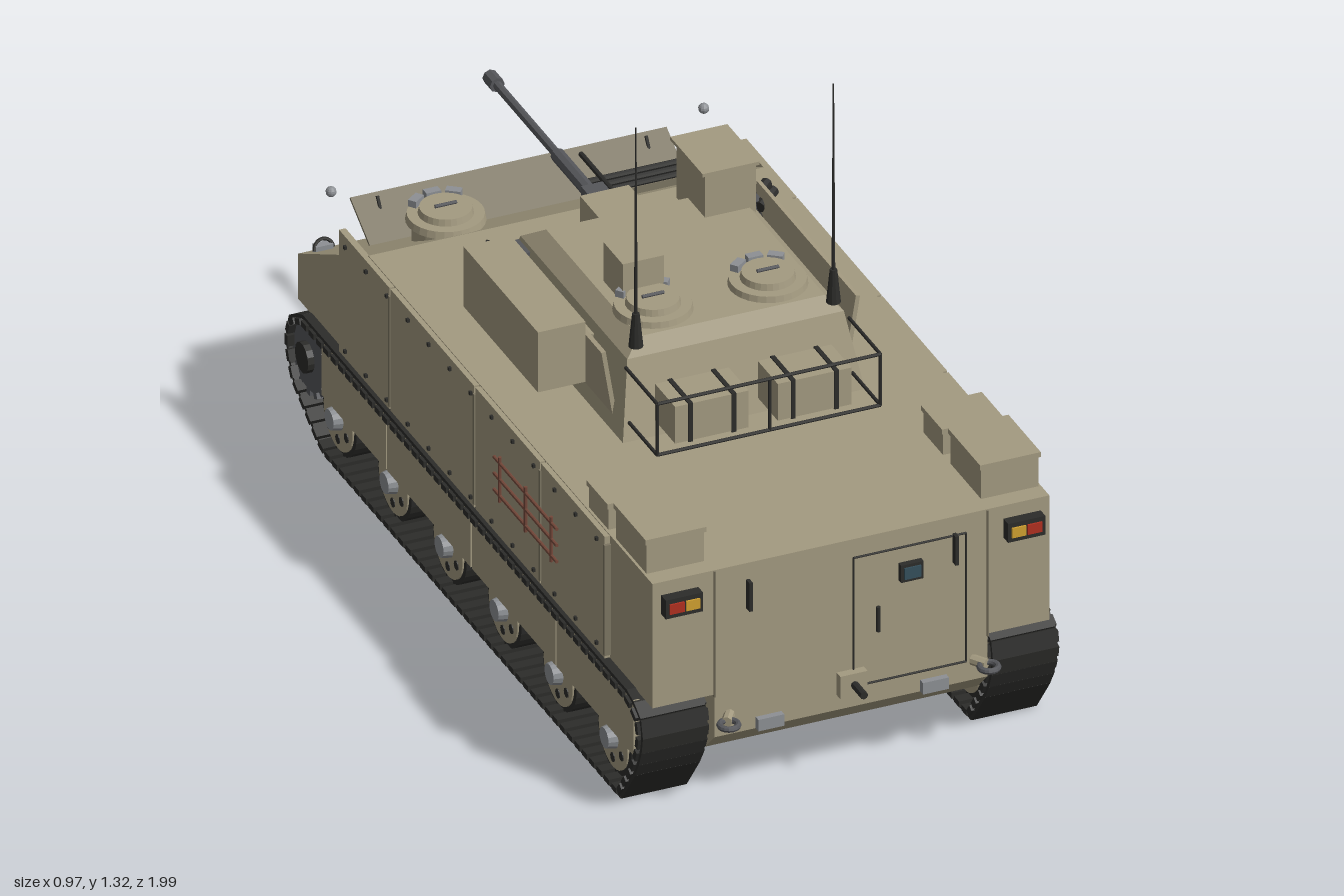
import * as THREE from 'three';
import { mergeGeometries } from 'three/addons/utils/BufferGeometryUtils.js';

const mat = (color) => new THREE.MeshStandardMaterial({ color, flatShading: true, side: THREE.DoubleSide });
const TAN = mat(0xa39a80), DARK = mat(0x2c2c2a), STEEL = mat(0x55565a), GREY = mat(0x8d9094),
  GLASS = mat(0x35505c), RED = mat(0xb03020), AMBER = mat(0xd0a030), VANE = mat(0x7c7562), WOOD = mat(0x74483a);

export function createModel() {
  const root = new THREE.Group();
  const add = (name, geo, m, x = 0, y = 0, z = 0, rx = 0, ry = 0, rz = 0, parent = root) => {
    const mesh = new THREE.Mesh(geo, m);
    mesh.name = name;
    mesh.position.set(x, y, z);
    mesh.rotation.set(rx, ry, rz);
    parent.add(mesh);
    return mesh;
  };
  // Box given by its limits on each axis
  const box = (name, m, x0, x1, y0, y1, z0, z1) =>
    add(name, new THREE.BoxGeometry(Math.abs(x1 - x0), y1 - y0, Math.abs(z1 - z0)), m, (x0 + x1) / 2, (y0 + y1) / 2, (z0 + z1) / 2);
  const cyl = (r0, r1, h, n = 20) => new THREE.CylinderGeometry(r0, r1, h, n);
  // Straight round bar between two points
  const rod = (name, m, a, b, r = 0.004) => {
    const p = new THREE.Vector3(...a), q = new THREE.Vector3(...b), d = q.clone().sub(p);
    const mesh = add(name, cyl(r, r, d.length(), 8), m);
    mesh.position.copy(p).add(q).multiplyScalar(0.5);
    mesh.quaternion.setFromUnitVectors(new THREE.Vector3(0, 1, 0), d.normalize());
  };
  // Side profile of [z, y] points extruded across x
  const slab = (name, m, pts, x0, x1) => {
    const g = new THREE.ExtrudeGeometry(new THREE.Shape(pts.map(([z, y]) => new THREE.Vector2(-z, y))), { depth: x1 - x0, bevelEnabled: false });
    return add(name, g.rotateY(Math.PI / 2), m, x0);
  };
  // Stack of rectangles [y, halfWidth, zFront, zRear] joined into a tapered body
  const taper = (name, m, rings) => {
    const p = [], quad = (a, b, c, d) => p.push(...a, ...b, ...c, ...a, ...c, ...d);
    const c = rings.map(([y, w, f, r]) => [[-w, y, r], [w, y, r], [w, y, f], [-w, y, f]]);
    for (let i = 0; i + 1 < c.length; i++)
      for (let k = 0; k < 4; k++) { const n = (k + 1) % 4; quad(c[i][k], c[i][n], c[i + 1][n], c[i + 1][k]); }
    quad(...c[c.length - 1]);
    const g = new THREE.BufferGeometry();
    g.setAttribute('position', new THREE.Float32BufferAttribute(p, 3));
    g.computeVertexNormals();
    return add(name, g, m);
  };

  // Hull
  slab('upperHull', TAN, [[0.92, 0.285], [0.92, 0.59], [-0.57, 0.59], [-0.94, 0.395], [-0.94, 0.285]], -0.458, 0.458);
  slab('lowerHull', TAN, [[0.92, 0.3], [0.92, 0.18], [0.87, 0.13], [-0.78, 0.13], [-0.91, 0.3]], -0.315, 0.315);

  // Running gear path [z, y]
  const loop = [[0.8, 0.014], [-0.76, 0.014], [-0.92, 0.11], [-0.952, 0.19], [-0.93, 0.25], [-0.87, 0.28],
    [0.85, 0.28], [0.9, 0.25], [0.912, 0.2], [0.88, 0.12]];
  const path = new THREE.Path(loop.map(([z, y]) => new THREE.Vector2(z, y)));
  path.closePath();
  const N = 104, pts = path.getSpacedPoints(N);

  for (const s of [-1, 1]) {
    // Track links with raised pads
    const links = [];
    for (let i = 0; i < N; i++) {
      const a = pts[i], b = pts[(i + 1) % N], ang = Math.atan2(b.y - a.y, b.x - a.x);
      const pad = new THREE.BoxGeometry(0.164, 0.014, 0.026).translate(0, 0.006, 0);
      const plate = new THREE.BoxGeometry(0.15, 0.01, a.distanceTo(b) + 0.003).translate(0, -0.004, 0);
      for (const g of [pad, plate])
        links.push(g.rotateX(Math.PI - ang).translate(s * 0.404, (a.y + b.y) / 2, (a.x + b.x) / 2));
    }
    add('track', mergeGeometries(links), DARK);

    // Road wheels
    for (let i = 0; i < 6; i++) {
      const z = 0.716 - i * 0.2886, wheel = new THREE.Group();
      wheel.name = 'roadWheel';
      wheel.position.set(s * 0.405, 0.108, z);
      wheel.rotation.z = -s * Math.PI / 2;
      root.add(wheel);
      add('tyre', cyl(0.088, 0.088, 0.1, 28), DARK, 0, 0, 0, 0, 0, 0, wheel);
      add('disc', cyl(0.076, 0.078, 0.108, 28), TAN, 0, 0, 0, 0, 0, 0, wheel);
      add('hub', cyl(0.024, 0.03, 0.03, 14), GREY, 0, 0.06, 0, 0, 0, 0, wheel);
      for (let k = 0; k < 6; k++)
        add('wheelHole', cyl(0.011, 0.011, 0.004, 10), DARK, 0.052 * Math.cos(k * Math.PI / 3), 0.054, 0.052 * Math.sin(k * Math.PI / 3), 0, 0, 0, wheel);
    }
    // Drive sprocket at the nose, idler at the tail
    add('sprocket', cyl(0.08, 0.08, 0.13, 24), STEEL, s * 0.404, 0.188, -0.862, 0, 0, Math.PI / 2);
    for (let k = 0; k < 14; k++) {
      const a = k * Math.PI / 7;
      add('sprocketTooth', new THREE.BoxGeometry(0.13, 0.02, 0.018), STEEL, s * 0.404, 0.188 + 0.083 * Math.cos(a), -0.862 + 0.083 * Math.sin(a), a);
    }
    add('sprocketHub', cyl(0.035, 0.035, 0.16, 14), DARK, s * 0.404, 0.188, -0.862, 0, 0, Math.PI / 2);
    add('idler', cyl(0.062, 0.062, 0.12, 20), TAN, s * 0.404, 0.205, 0.84, 0, 0, Math.PI / 2);

    // Side armour panels, lower skirts and their bolts
    const upper = [0.7, 0.36, 0.015, -0.43, -0.7], lower = [0.87, 0.46, 0.015, -0.43, -0.775];
    for (let i = 0; i < 4; i++) {
      box('sidePanel', TAN, s * 0.455, s * 0.47, 0.29, 0.588, upper[i] - 0.003, upper[i + 1] + 0.003);
      box('panelSeam', VANE, s * 0.455, s * 0.473, 0.3, 0.57, upper[i] - 0.004, upper[i] + 0.004);
      box('lowerSkirt', TAN, s * 0.464, s * 0.478, 0.145, 0.28, lower[i] - 0.003, lower[i + 1] + 0.003);
    }
    const bolts = [];
    for (let z = 0.66; z > -0.68; z -= 0.11)
      for (const y of [0.31, 0.565]) bolts.push(new THREE.BoxGeometry(0.008, 0.008, 0.008).translate(s * 0.472, y, z));
    add('panelBolts', mergeGeometries(bolts), DARK);

    // Stowage boxes on the rear deck
    for (const [z0, z1, h] of [[0.71, 0.88, 0.675], [0.57, 0.68, 0.655]]) {
      box('deckBox', TAN, s * 0.32, s * 0.452, 0.59, h - 0.012, z0 + 0.004, z1 - 0.004);
      box('deckBoxLid', TAN, s * 0.316, s * 0.456, h - 0.012, h, z0, z1);
    }
    // Rear lamps, corner seams, hooks and steps
    box('lampHousing', DARK, s * 0.352, s * 0.438, 0.512, 0.558, 0.92, 0.945);
    box('amberLamp', AMBER, s * 0.36, s * 0.392, 0.523, 0.547, 0.94, 0.949);
    box('redLamp', RED, s * 0.396, s * 0.43, 0.523, 0.547, 0.94, 0.949);
    box('rearSeam', VANE, s * 0.313, s * 0.317, 0.28, 0.588, 0.918, 0.924);
    box('cornerHinge', DARK, s * 0.238 - 0.004, s * 0.238 + 0.004, 0.48, 0.55, 0.92, 0.938);
    box('rearStep', GREY, s * 0.16, s * 0.22, 0.18, 0.208, 0.915, 0.935);
    rod('hookArm', TAN, [s * 0.28, 0.23, 0.92], [s * 0.3, 0.23, 0.95], 0.012);
    add('rearTowRing', new THREE.TorusGeometry(0.02, 0.007, 8, 16), STEEL, s * 0.3, 0.23, 0.962, Math.PI / 2);
    add('frontTowRing', new THREE.TorusGeometry(0.02, 0.007, 8, 16), STEEL, s * 0.26, 0.225, -0.968, Math.PI / 2);
    rod('frontTowArm', STEEL, [s * 0.26, 0.225, -0.82], [s * 0.26, 0.225, -0.95], 0.012);
    // Nose markers and lamp guards
    add('noseMarker', new THREE.SphereGeometry(0.012, 10, 8), GREY, s * 0.43, 0.6, -0.83);
    add('lampGuard', new THREE.TorusGeometry(0.022, 0.004, 6, 12, Math.PI), DARK, s * 0.42, 0.425, -0.89, -0.4);
    box('noseLamp', GREY, s * 0.40, s * 0.44, 0.41, 0.435, -0.905, -0.885);
    rod('vaneStrut', DARK, [s * 0.31, 0.455, -0.8], [s * 0.31, 0.545, -0.86]);
    // Antennas
    add('antennaBase', cyl(0.008, 0.016, 0.08, 10), DARK, s * 0.228, 0.83, 0.31);
    add('antenna', cyl(0.0015, 0.004, 0.46, 6), DARK, s * 0.228, 1.095, 0.31);
    // Turret side plates, leaning outward
    add('turretSidePlate', new THREE.BoxGeometry(0.01, 0.17, 0.52), TAN, s * 0.28, 0.695, 0.03, 0, 0, -s * 0.16);
    // Smoke launchers
    for (let i = 0; i < 4; i++) {
      const y = 0.715 + 0.028 * (i % 2), z = -0.24 + 0.035 * Math.floor(i / 2);
      rod('smokeTube', DARK, [s * 0.275, y, z + 0.02], [s * 0.325, y + 0.008, z - 0.02], 0.013);
    }
    box('smokeBracket', STEEL, s * 0.23, s * 0.29, 0.7, 0.755, -0.25, -0.19);
  }

  // Tool bar on the right flank, ladder rack on the other
  rod('flankBar', STEEL, [0.476, 0.445, 0.665], [0.476, 0.445, -0.3], 0.005);
  for (const z of [0.665, -0.3]) add('barEnd', cyl(0.018, 0.018, 0.014, 16), GREY, 0.476, 0.445, z, 0, 0, Math.PI / 2);
  for (const y of [0.4, 0.44, 0.48]) rod('rackRail', WOOD, [-0.476, y, 0.13], [-0.476, y, 0.46]);
  for (const z of [0.16, 0.295, 0.43]) rod('rackPost', WOOD, [-0.476, 0.385, z], [-0.476, 0.495, z]);

  // Rear door
  const frame = [[0.005, 0.23], [0.005, 0.545], [0.265, 0.545], [0.265, 0.23]];
  frame.forEach((p, i) => rod('doorSeam', DARK, [...p, 0.922], [...frame[(i + 1) % 4], 0.922], 0.0025));
  box('doorWindowFrame', DARK, 0.11, 0.162, 0.465, 0.507, 0.92, 0.934);
  box('doorWindow', GLASS, 0.117, 0.155, 0.472, 0.5, 0.93, 0.937);
  rod('doorHandle', DARK, [0.057, 0.36, 0.935], [0.057, 0.42, 0.935], 0.005);
  box('hitchPlate', TAN, -0.033, 0.03, 0.217, 0.272, 0.92, 0.94);
  rod('hitchPin', DARK, [0, 0.245, 0.92], [0, 0.245, 0.99], 0.009);

  // Trim vane raised over the nose
  add('trimVane', new THREE.BoxGeometry(0.73, 0.006, 0.125), VANE, 0, 0.51, -0.825, 0.54);
  rod('vaneHinge', DARK, [-0.37, 0.478, -0.77], [0.37, 0.478, -0.77]);

  // Hatch with ring, lid, handle and periscopes
  const hatch = (name, x, y, z, r, dir) => {
    add(name + 'Ring', cyl(r, r * 1.04, 0.016, 28), TAN, x, y, z);
    add(name + 'Lid', cyl(r * 0.68, r * 0.76, 0.03, 28), TAN, x, y + 0.008, z);
    rod(name + 'Handle', STEEL, [x - 0.025, y + 0.028, z], [x + 0.025, y + 0.028, z]);
    for (const k of [-1, 0, 1]) {
      const a = k * 0.65;
      add(name + 'Periscope', new THREE.BoxGeometry(0.034, 0.024, 0.02), GREY, x + r * 0.87 * Math.sin(a), y + 0.012, z + dir * r * 0.87 * Math.cos(a), 0, a * dir);
    }
  };
  hatch('driverHatch', -0.24, 0.588, -0.66, 0.083, -1);
  add('driverHatchCollar', cyl(0.075, 0.075, 0.07, 24), TAN, -0.24, 0.55, -0.655);
  hatch('commanderHatch', 0.125, 0.808, 0.2, 0.083, -1);
  hatch('gunnerHatch', -0.14, 0.808, 0.2, 0.083, -1);

  // Engine louvre on the glacis
  for (let i = 0; i < 3; i++) rod('louvreBar', DARK, [0.08, 0.59, -0.665 + 0.024 * i], [0.38, 0.59, -0.665 + 0.024 * i], 0.007);
  box('louvreTray', VANE, 0.08, 0.37, 0.55, 0.586, -0.67, -0.61);
  box('louvreEnd', STEEL, 0.37, 0.415, 0.565, 0.6, -0.67, -0.615);

  // Turret
  taper('turret', TAN, [[0.585, 0.28, -0.33, 0.36], [0.765, 0.25, -0.245, 0.315], [0.802, 0.215, -0.19, 0.295]]);
  box('turretSideBox', TAN, -0.41, -0.3, 0.665, 0.812, -0.18, 0.21);
  box('sideBoxMount', TAN, -0.31, -0.23, 0.69, 0.74, -0.1, 0.15);

  // Gun, mantlet and coaxial gun
  box('mantlet', TAN, -0.058, 0.055, 0.665, 0.75, -0.37, -0.25);
  box('gunCradle', STEEL, -0.025, 0.025, 0.672, 0.728, -0.44, -0.36);
  for (const [z0, z1, r] of [[-0.42, -0.62, 0.016], [-0.6, -0.95, 0.01], [-0.935, -0.975, 0.017]])
    rod('gunBarrel', STEEL, [0, 0.702, z0], [0, 0.702, z1], r);
  box('coaxBody', STEEL, 0.055, 0.092, 0.645, 0.695, -0.45, -0.3);
  rod('coaxBarrel', DARK, [0.072, 0.665, -0.44], [0.072, 0.665, -0.66], 0.006);

  // Roof sights
  box('mainSight', TAN, 0.112, 0.23, 0.77, 0.905, -0.25, -0.1);
  box('mainSightLid', TAN, 0.104, 0.236, 0.905, 0.913, -0.265, -0.095);
  box('mainSightGlass', GLASS, 0.128, 0.214, 0.825, 0.89, -0.254, -0.24);
  box('smallSight', TAN, -0.19, -0.095, 0.8, 0.897, 0.055, 0.155);
  box('smallSightGlass', GLASS, -0.175, -0.11, 0.835, 0.882, 0.051, 0.06);

  // Bustle rack and its stowed boxes
  for (const y of [0.63, 0.755]) {
    rod('rackRail', DARK, [-0.26, y, 0.495], [0.255, y, 0.495]);
    for (const x of [-0.26, 0.255]) rod('rackSide', DARK, [x, y, 0.33], [x, y, 0.495]);
  }
  for (const x of [-0.26, 0, 0.255]) rod('rackPost', DARK, [x, 0.63, 0.495], [x, 0.755, 0.495]);
  for (const x of [-0.125, 0.112]) {
    box('stowedBox', TAN, x - 0.085, x + 0.085, 0.635, 0.725, 0.37, 0.475);
    for (const d of [-0.05, 0.05]) box('boxStrap', DARK, x + d - 0.005, x + d + 0.005, 0.633, 0.728, 0.367, 0.478);
  }
  return root;
}
